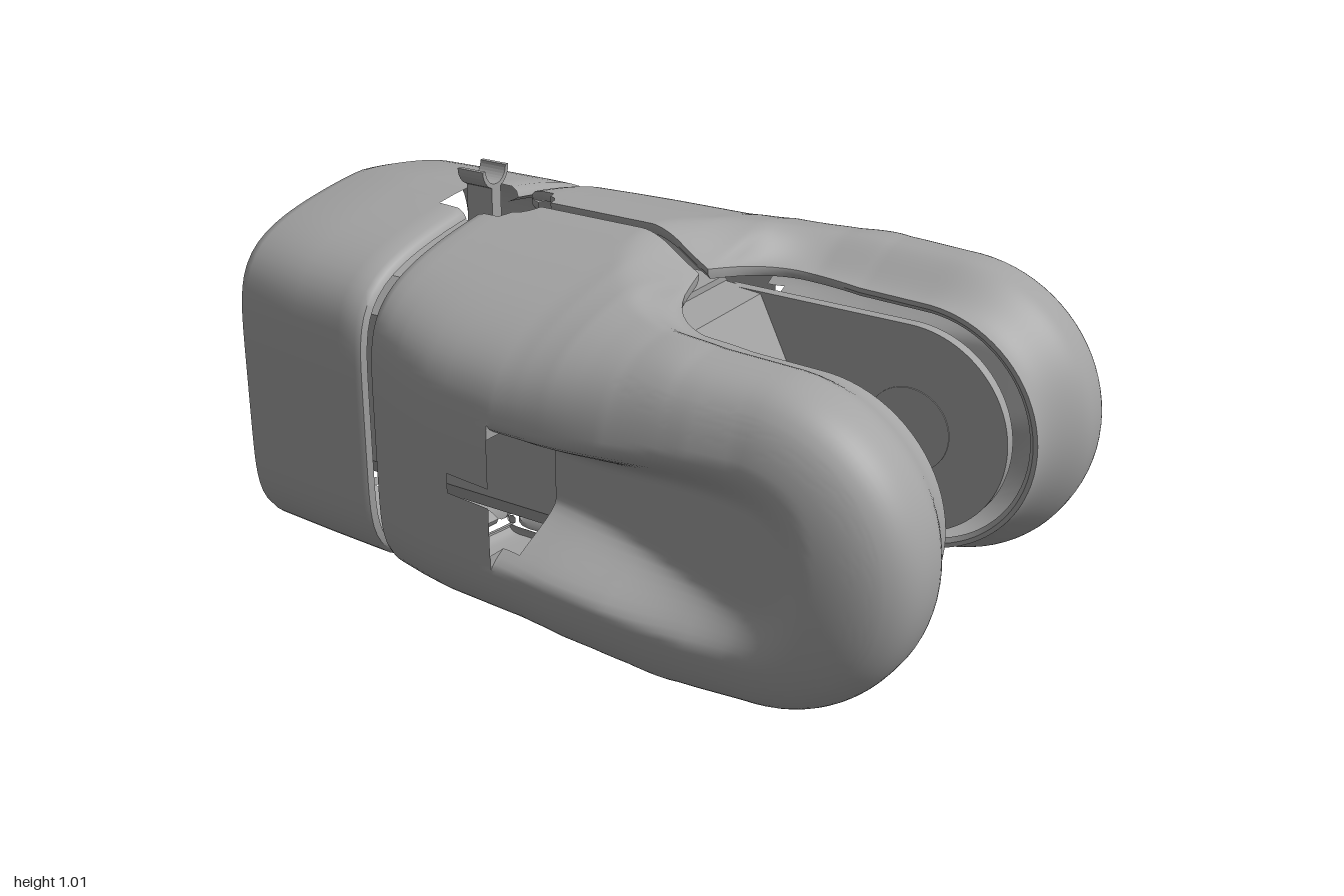
import * as THREE from 'three';
import { toCreasedNormals } from 'three/addons/utils/BufferGeometryUtils.js';

const CY = 0.47; // height of the long axis
const { lerp, smoothstep } = THREE.MathUtils;

// piecewise linear curve through [x, value] pairs
function curve(points, x) {
  if (x <= points[0][0]) return points[0][1];
  for (let i = 1; i < points.length; i++) {
    const [a, va] = points[i - 1], [b, vb] = points[i];
    if (x <= b) return lerp(va, vb, (x - a) / (b - a));
  }
  return points[points.length - 1][1];
}

// surface through a grid of points; skip(i, j) leaves out a cell
function gridSurface(rows, skip) {
  const n = rows[0].length, index = [];
  for (let i = 0; i < rows.length - 1; i++)
    for (let j = 0; j < n - 1; j++) {
      if (skip(i, j)) continue;
      const a = i * n + j, b = a + n;
      index.push(a, a + 1, b, b, a + 1, b + 1);
    }
  const geo = new THREE.BufferGeometry();
  geo.setAttribute('position', new THREE.Float32BufferAttribute(rows.flat(2), 3));
  geo.setIndex(index);
  return toCreasedNormals(geo, 0.7);
}

// quarter ellipse rise from 0 at a to 1 at b
const arcRise = (a, b, x) => x <= a ? 0 : x >= b ? 1 : Math.sqrt(1 - ((b - x) / (b - a)) ** 2);

// how far the cambered top has dropped, as a share of the half height
const camber = z => 0.505 * Math.abs(z) ** 1.4;

// half of the fork: rays run along the top, round the nose and back below
const NOSE = 0.615;
const height = [[0, 0.47], [0.07, 0.469], [0.15, 0.458], [0.23, 0.434], [0.32, 0.41], [0.45, 0.391], [NOSE, 0.385]];
const width = [[-0.43, 0.54], [-0.3, 0.588], [-0.2, 0.618], [0, 0.64], [0.3, 0.65], [0.5, 0.642], [NOSE, 0.63]];
const rearNotch = [[-0.36, 0.115], [-0.345, 0.08], [-0.325, 0.07], [-0.31, 0.05], [-0.3, 0.02]];

function forkHalf(side) {
  const line = [[-0.41, 0.93], [-0.43, 0.945], [-0.43, 0.97], [-0.42, 0.992], [-0.4, 1]];
  for (const x of [-0.36, -0.345, -0.325, -0.31, -0.3, -0.25, -0.19, -0.13, -0.09, -0.04, -0.001]) line.push([x, 1]);
  for (let x = 0; x < NOSE - 0.01; x += 0.0125) line.push([x, 1]);
  const ray = (x, e, dx, dy) => ({ x, e, dx, dy });
  const rays = line.map(([x, e]) => ray(x, e, 0, 1));
  for (let i = 0; i <= 40; i++) {
    const a = Math.PI * (0.5 - i / 40);
    rays.push(ray(NOSE, 1, Math.cos(a), Math.sin(a)));
  }
  rays.push(...line.slice().reverse().map(([x, e]) => ray(x, e, 0, -1)));

  const TOP_STEPS = 24, CORNER_STEPS = 10, SIDE_STEPS = 20;
  const rows = rays.map(({ x: sx, e, dx, dy }) => {
    const len = curve(height, sx) * e, zo = curve(width, sx) * e;
    const zin = (dy > 0 ? curve(rearNotch, sx) : 0.02) + 0.23 * arcRise(0.17, 0.34, sx);
    const zCrest = Math.max(zin + 0.001, 0.43 * arcRise(0, 0.42, sx));
    const arm = smoothstep(sx, 0, 0.45), zs = 0.43 * arm, n = lerp(6, 3, arm);
    const dip = 0.17 * smoothstep(sx, 0, 0.2);
    const scaled = (s, z) => s * (1 - (1 - arm) * camber(z))
      * (1 - dip * (1 - smoothstep(z, zin, zCrest)));
    const section = [];
    // crest, rolling in towards the crotch
    for (let i = 0; i <= TOP_STEPS; i++) {
      const z = lerp(zin, lerp(zs, zo, 0.7), i / TOP_STEPS);
      const u = Math.max(0, (z - zs) / (zo - zs));
      section.push([scaled((1 - u ** n) ** (1 / n), z), z]);
    }
    // outer shoulder
    const first = Math.asin(0.7 ** (n / 2)), last = Math.acos(0.7 ** (n / 2));
    for (let i = 1; i < CORNER_STEPS; i++) {
      const a = lerp(first, last, i / CORNER_STEPS), z = lerp(zs, zo, Math.sin(a) ** (2 / n));
      section.push([scaled(Math.cos(a) ** (2 / n), z), z]);
    }
    // cheek
    for (let i = SIDE_STEPS; i >= 0; i--) {
      const s = 0.7 * i / SIDE_STEPS, z = lerp(zs, zo, (1 - s ** n) ** (1 / n));
      section.push([scaled(s, z), z]);
    }
    // turned-in lip
    const lip = section[0][0];
    section.unshift([lip - 0.06, zin + 0.01], [lip - 0.03, zin]);
    return section.map(([k, z]) => {
      const x = sx + dx * len * k, up = dy * len * k;
      // hollow in the outer cheek, deepest at its rear end
      if (x >= 0) {
        const half = 0.16 + 0.05 * smoothstep(x, 0.1, 0.6);
        const d = Math.hypot(up, Math.max(0, x - 0.62) * 0.9) - half;
        const floor = 0.45 + 0.19 * (x / 0.85) ** 1.4;
        z = lerp(z, Math.min(z, floor), 1 - smoothstep(d, -0.1, 0.025));
      }
      return [x, CY + up, side * z];
    });
  });
  const n = rows[0].length;
  return gridSurface(rows, (i, j) => {
    const x = (rows[i][n - 1][0] + rows[i + 1][n - 1][0]) / 2;
    const fromAxis = n - 2 - j;
    // port at the rear of the hollow, and the cable slot behind it
    return (x > -0.01 && x < 0.05 && fromAxis < 12) || (x > -0.13 && x < 0 && fromAxis < 2);
  });
}

// rear collar, split underneath and notched on top for the clip
function collar() {
  const rings = [[-0.86, 0.43, 0.44], [-0.91, 0.435, 0.445], [-0.916, 0.447, 0.457], [-0.905, 0.461, 0.473],
    [-0.88, 0.468, 0.482], [-0.7, 0.47, 0.499], [-0.55, 0.47, 0.512], [-0.49, 0.468, 0.52],
    [-0.475, 0.458, 0.515], [-0.468, 0.442, 0.5], [-0.5, 0.425, 0.48]];
  const rows = rings.map(([x, hy, hz]) => Array.from({ length: 121 }, (_, i) => {
    const deg = -90 + THREE.MathUtils.clamp(i * 3, 2.3, 357.7), a = deg * Math.PI / 180;
    const c = Math.cos(a), s = Math.sin(a), r = (c ** 6 + s ** 6) ** (-1 / 6);
    const z = hz * r * c;
    return [x, CY + hy * r * s * (1 - camber(z)), z];
  }));
  return gridSurface(rows, (i, j) => i >= 6 && j >= 56 && j < 64);
}

// prism along x from a [z, y] outline
function prismX(points, x0, x1) {
  const shape = new THREE.Shape(points.map(([z, y]) => new THREE.Vector2(-z, y)));
  return new THREE.ExtrudeGeometry(shape, { depth: x1 - x0, bevelEnabled: false })
    .rotateY(Math.PI / 2).translate(x0, 0, 0);
}

const chamfered = (w, y0, y1, c) => [[-w, y0 + c], [-w + c, y0], [w - c, y0], [w, y0 + c],
  [w, y1 - c], [w - c, y1], [-w + c, y1], [-w, y1 - c]];

export function createModel() {
  const grey = new THREE.MeshStandardMaterial({ color: 0xa3a3a3, side: THREE.DoubleSide });
  grey.name = 'grey';
  const model = new THREE.Group();
  model.name = 'forkedJoint';
  const add = (name, geo, x = 0, y = 0, z = 0) => {
    const mesh = new THREE.Mesh(geo, grey);
    mesh.name = name;
    mesh.position.set(x, y, z);
    model.add(mesh);
  };

  // outer covers
  add('leftForkCover', forkHalf(1));
  add('rightForkCover', forkHalf(-1));
  add('rearCollar', collar());

  // inner housing with its wedge-shaped nose
  add('housing', prismX(chamfered(0.31, 0.19, 0.76, 0.08), -0.9, 0.08));
  const wedge = new THREE.Shape([[0, 0.2], [0.2, 0.21], [0.31, 0.44], [0.325, 0.465], [0.31, 0.49],
    [0.19, 0.735], [0, 0.75]].map(p => new THREE.Vector2(...p)));
  add('housingNose', new THREE.ExtrudeGeometry(wedge, { depth: 0.5, bevelEnabled: false }), 0, 0, -0.24);

  // rear flange and motor cap
  add('rearFlange', prismX(chamfered(0.285, 0.19, 0.755, 0.1), -0.945, -0.9));
  add('motorCap', new THREE.CylinderGeometry(0.265, 0.265, 0.08, 64).rotateZ(Math.PI / 2), -0.96, CY, 0);

  // plates on the inner side of each arm, with a round bearing cover
  const plate = new THREE.Shape();
  plate.moveTo(0.1, CY - 0.27);
  plate.lineTo(0.6, CY - 0.27);
  plate.absarc(0.6, CY, 0.27, -Math.PI / 2, Math.PI / 2, false);
  plate.lineTo(0.1, CY + 0.27);
  plate.closePath();
  for (const [name, z, face] of [['left', 0.28, -1], ['right', -0.24, 1]]) {
    add(name + 'ArmPlate', new THREE.ExtrudeGeometry(plate, { depth: 0.03, bevelEnabled: false, curveSegments: 32 }),
      0, 0, z - 0.015);
    add(name + 'BearingCover', new THREE.CylinderGeometry(0.11, 0.11, 0.008, 48).rotateX(Math.PI / 2),
      0.61, CY, z + face * 0.014);
  }

  // cable clip on top: foot, tapered post and open hook
  add('clipFoot', new THREE.BoxGeometry(0.13, 0.02, 0.27), -0.5, 0.765, 0);
  add('clipPlate', new THREE.BoxGeometry(0.095, 0.02, 0.2), -0.498, 0.782, 0);
  for (const s of [-1, 1])
    add('clipScrew', new THREE.CylinderGeometry(0.014, 0.014, 0.008, 20), -0.498, 0.794, s * 0.07);
  add('clipPost', prismX([[-0.032, 0.79], [0.032, 0.79], [0.018, 0.85], [0.018, 0.96], [-0.018, 0.96], [-0.018, 0.85]],
    -0.535, -0.455));
  const hook = [];
  for (const [r, inner] of [[0.052, false], [0.04, true]])
    for (let i = 0; i <= 16; i++) {
      const a = Math.PI * (1 + (inner ? 16 - i : i) / 16);
      hook.push([r * Math.cos(a), 1.008 + r * Math.sin(a)]);
    }
  add('clipHook', prismX(hook, -0.535, -0.455));

  // pointed bracket and pin under the nose
  add('lowerBracket', prismX([[-0.2, 0.215], [-0.12, 0.187], [-0.06, 0.14], [-0.02, 0.11], [0.02, 0.11],
    [0.06, 0.14], [0.12, 0.187], [0.2, 0.215]], 0.1, 0.16));
  add('bracketPin', new THREE.CylinderGeometry(0.017, 0.017, 0.07, 20).rotateZ(Math.PI / 2), 0.185, 0.182, 0);
  return model;
}
